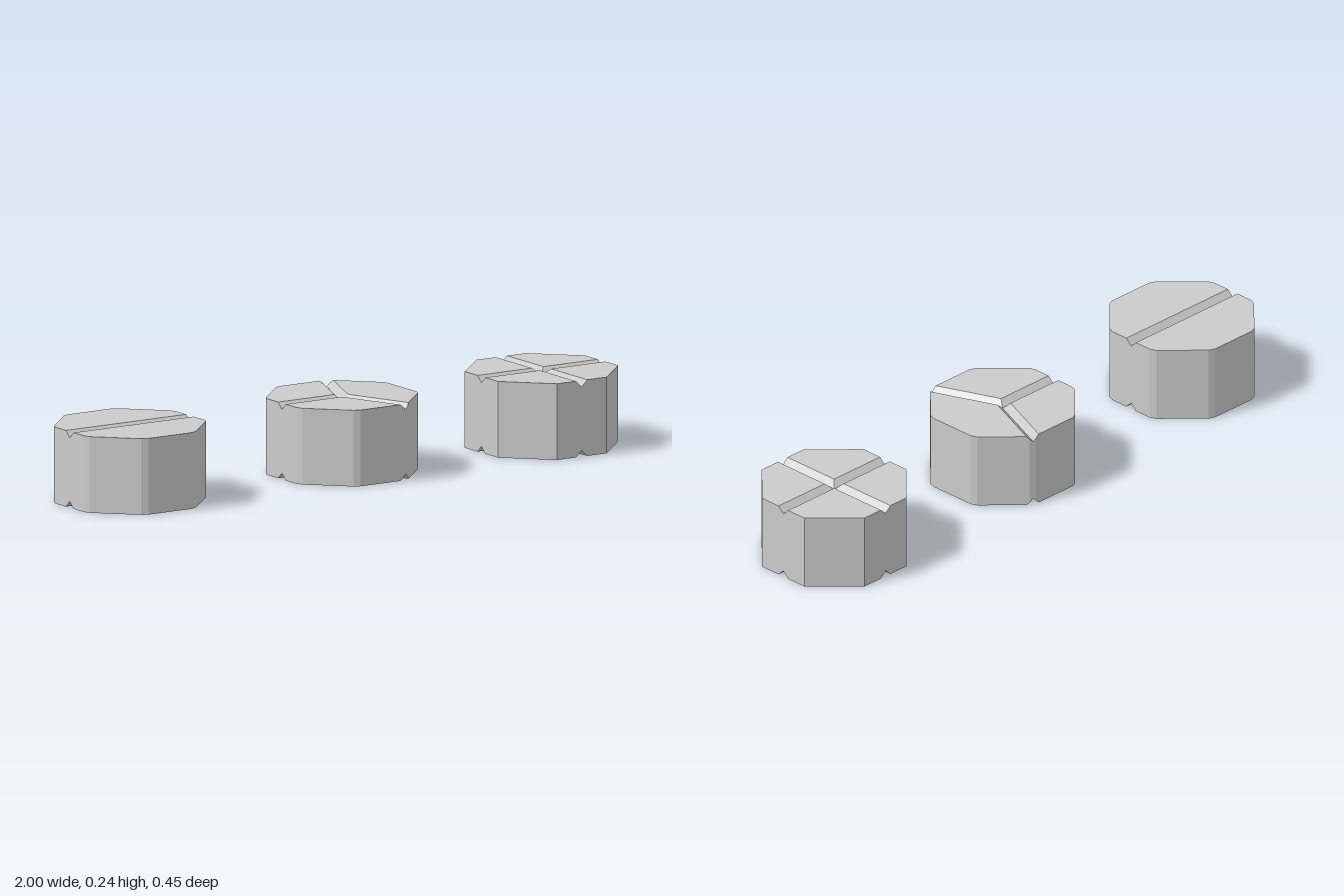
import * as THREE from 'three';

const HEIGHT = 0.243, APOTHEM = 0.226, GROOVE_HALF = 0.021, GROOVE_DEPTH = 0.02;
const rad = THREE.MathUtils.degToRad;

// Octagon outline in (x, z), each corner cut by a narrow bevel
function octagon(bevel) {
  const R = APOTHEM / Math.cos(Math.PI / 8);
  const corner = k => new THREE.Vector2().setFromPolar
    ? null : new THREE.Vector2(R * Math.cos(rad(22.5 + 45 * k)), R * Math.sin(rad(22.5 + 45 * k)));
  const pts = [];
  for (let k = 0; k < 8; k++) {
    const c = corner(k);
    if (!bevel) { pts.push(c); continue; }
    for (const n of [corner(k - 1), corner(k + 1)]) {
      pts.push(c.clone().add(n.sub(c).setLength(bevel)));
    }
  }
  return pts;
}

// Keep the part of a convex polygon where p . n >= offset
function clip(poly, n, offset = 0) {
  const out = [];
  poly.forEach((p, i) => {
    const q = poly[(i + 1) % poly.length];
    const dp = p.dot(n) - offset, dq = q.dot(n) - offset;
    if (dp >= 0) out.push(p);
    if ((dp > 0 && dq < 0) || (dp < 0 && dq > 0)) out.push(p.clone().lerp(q, dp / (dp - dq)));
  });
  return out;
}

// Prism with V grooves radiating from its centre, alike on top and bottom
function tabletGeometry(armAngles, bevel) {
  const outline = octagon(bevel);
  const pos = [];
  const tri = (...pts) => pts.forEach(p => pos.push(...p));

  const onRim = (p, q) => outline.some((a, i) => {
    const e = outline[(i + 1) % outline.length].clone().sub(a).normalize();
    return [p, q].every(v => Math.abs(e.cross(v.clone().sub(a))) < 1e-6);
  });

  // Adds a piece of the top, its mirror below and the side wall at the rim
  function addPiece(poly, heightAt) {
    if (poly.length < 3) return;
    const top = poly.map(p => [p.x, heightAt(p), p.y]);
    const low = top.map(([x, y, z]) => [x, HEIGHT - y, z]);
    for (let i = 1; i < poly.length - 1; i++) {
      tri(top[0], top[i + 1], top[i]);
      tri(low[0], low[i], low[i + 1]);
    }
    poly.forEach((p, i) => {
      const j = (i + 1) % poly.length;
      if (p.distanceTo(poly[j]) < 1e-6 || !onRim(p, poly[j])) return;
      tri(low[i], top[i], top[j]);
      tri(low[i], top[j], low[j]);
    });
  }

  armAngles.forEach((angle, i) => {
    const [a, b] = [angle, armAngles[(i + 1) % armAngles.length]]
      .map(t => new THREE.Vector2(Math.cos(rad(t)), Math.sin(rad(t))));
    // Normals pointing from each arm into the sector
    const na = new THREE.Vector2(-a.y, a.x), nb = new THREE.Vector2(b.y, -b.x);
    const sector = clip(clip(outline, na), nb);
    // Flat land
    addPiece(clip(clip(sector, na, GROOVE_HALF), nb, GROOVE_HALF), () => HEIGHT);
    // Sloping groove walls, meeting on the sector's bisector
    for (const [n, side] of [[na, a.clone().sub(b)], [nb, b.clone().sub(a)]]) {
      const wall = clip(clip(sector, side), n.clone().negate(), -GROOVE_HALF);
      addPiece(wall, p => HEIGHT - GROOVE_DEPTH * (1 - p.dot(n) / GROOVE_HALF));
    }
  });

  const g = new THREE.BufferGeometry();
  g.setAttribute('position', new THREE.Float32BufferAttribute(pos, 3));
  g.computeVertexNormals();
  return g;
}

export function createModel() {
  const group = new THREE.Group();
  group.name = 'scoredTablets';
  const material = new THREE.MeshStandardMaterial({ color: 0xcccccc, flatShading: true });
  const tablets = [
    ['halvingTablet', -0.774, [0, 180], 0.012],
    ['thirdsTablet', 0.024, [68, 180, 292], 0.012],
    ['quarteringTablet', 0.774, [0, 90, 180, 270], 0],
  ];
  for (const [name, x, arms, bevel] of tablets) {
    const mesh = new THREE.Mesh(tabletGeometry(arms, bevel), material);
    mesh.name = name;
    mesh.position.x = x;
    group.add(mesh);
  }
  return group;
}
